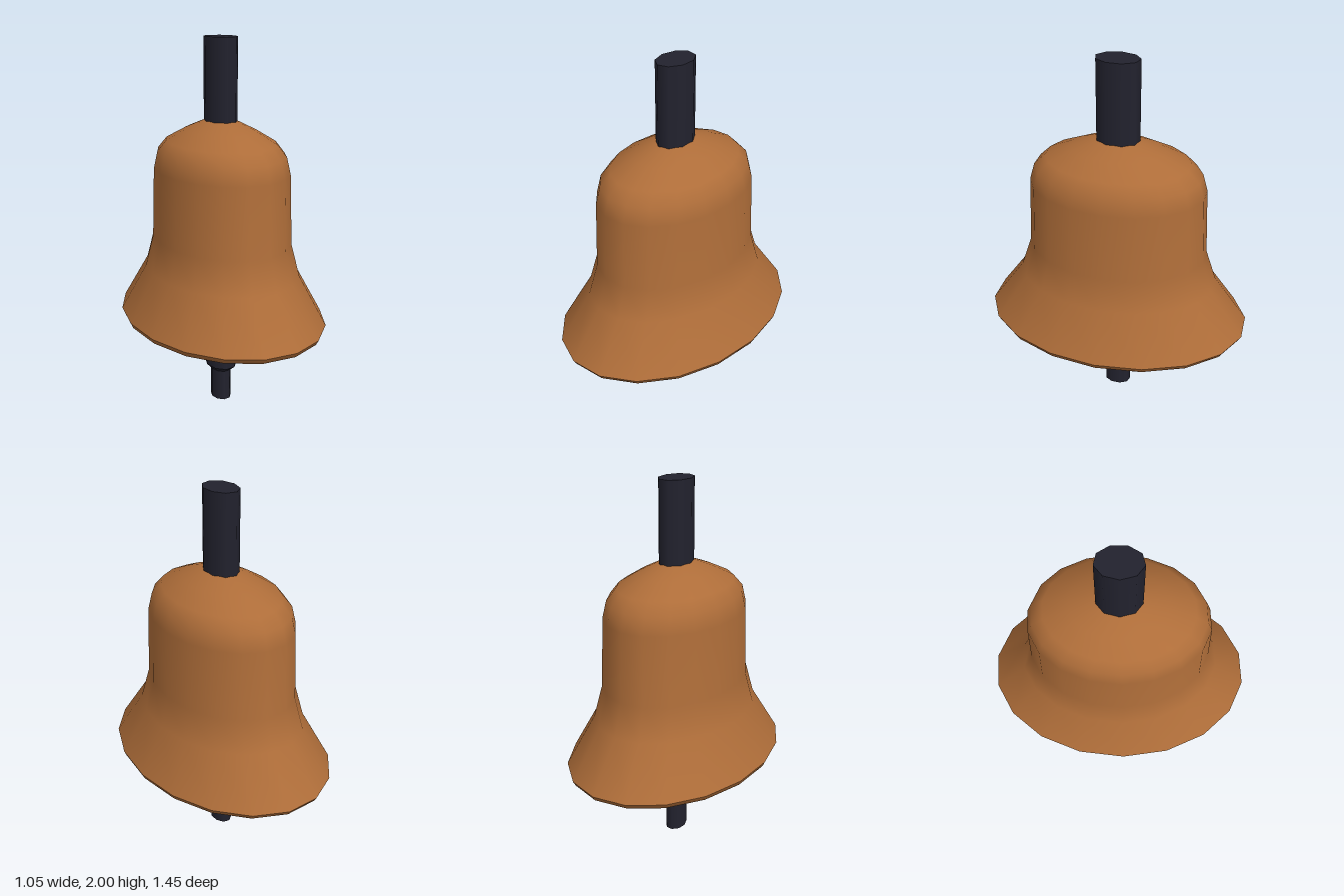
import * as THREE from 'three';

const SQUASH = 0.724; // every part has the same oval plan, narrower in x
const rad = THREE.MathUtils.degToRad;

export function createModel() {
  const bronze = new THREE.MeshStandardMaterial({ color: 0xae6d39 });
  bronze.name = 'bronze';
  const iron = new THREE.MeshStandardMaterial({ color: 0x22222e });
  iron.name = 'darkIron';

  const model = new THREE.Group();
  model.name = 'bell';

  function add(parent, name, geometry, material) {
    geometry.scale(SQUASH, 1, 1);
    const mesh = new THREE.Mesh(geometry, material);
    mesh.name = name;
    parent.add(mesh);
  }

  function lathe(name, profile) {
    const points = profile.map(([r, y]) => new THREE.Vector2(r, y));
    add(model, name, new THREE.LatheGeometry(points, 18, rad(93)), bronze);
  }

  // Bell: outer skin, hard-edged lip and inner skin
  lathe('bellOuter', [
    [0.728, 0.52], [0.545, 0.77], [0.488, 0.94], [0.473, 1.31],
    [0.447, 1.4], [0.385, 1.46], [0.25, 1.52], [0.11, 1.57], [0, 1.575],
  ]);
  lathe('bellLip', [[0.63, 0.51], [0.66, 0.494], [0.712, 0.494], [0.728, 0.52]]);
  lathe('bellInner', [
    [0, 1.52], [0.24, 1.47], [0.35, 1.42], [0.405, 1.37], [0.425, 1.3],
    [0.44, 0.94], [0.495, 0.76], [0.63, 0.51],
  ]);

  // Rods: stacked nine-sided sections given as [radius, y] from the bottom up
  function rod(name, sections) {
    const group = new THREE.Group();
    group.name = name;
    model.add(group);
    for (let i = 0; i < sections.length - 1; i++) {
      const [r0, y0] = sections[i];
      const [r1, y1] = sections[i + 1];
      const part = new THREE.CylinderGeometry(r1, r0, y1 - y0, 9, 1, false, rad(112));
      part.translate(0, (y0 + y1) / 2, 0);
      add(group, name + 'Section' + (i + 1), part, iron);
    }
  }

  rod('hangerRod', [[0.117, 1.56], [0.117, 2]]);
  rod('clapper', [
    [0.074, 0], [0.074, 0.17], [0.115, 0.2], [0.115, 0.365], [0.088, 0.39], [0.088, 1.53],
  ]);

  return model;
}
